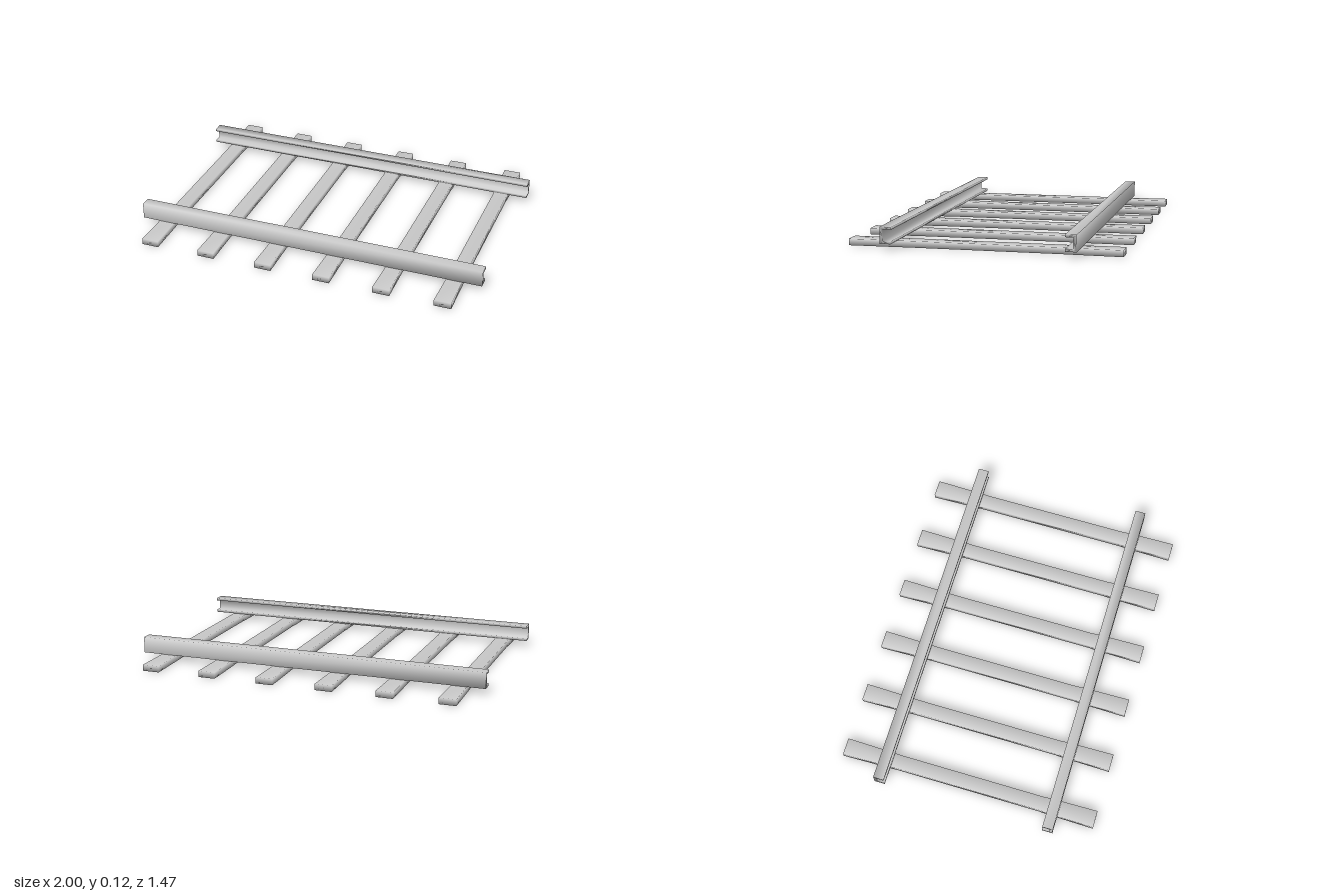
import * as THREE from 'three';
import { mergeVertices } from 'three/addons/utils/BufferGeometryUtils.js';

const material = new THREE.MeshStandardMaterial({ color: 0xcccccc });

// Weld corners so the shading runs softly over the edges
function soften(geometry) {
  geometry.deleteAttribute('normal');
  geometry.deleteAttribute('uv');
  const welded = mergeVertices(geometry, 1e-4);
  welded.computeVertexNormals();
  return welded;
}

// Flat sleeper, slightly flared toward both ends
function sleeperGeometry() {
  const stations = [-0.735, -0.47, -0.42, 0.42, 0.47, 0.735];
  const halfWidths = [0.048, 0.042, 0.04, 0.04, 0.043, 0.048];
  const geometry = new THREE.BoxGeometry(2, 0.035, 1, 1, 1, stations.length - 1);
  const p = geometry.attributes.position;
  for (let i = 0; i < p.count; i++) {
    const k = Math.round((p.getZ(i) + 0.5) * (stations.length - 1));
    p.setXYZ(i, p.getX(i) * halfWidths[k], p.getY(i) + 0.0175, stations[k]);
  }
  return soften(geometry);
}

// C-channel rail: web on the outer side, flanges pointing inward
function railGeometry(outer, inner) {
  const web = outer + Math.sign(inner - outer) * 0.018;
  const section = [
    [outer, 0.035], [inner, 0.035], [inner, 0.05], [web, 0.05],
    [web, 0.11], [inner, 0.11], [inner, 0.125], [outer, 0.125],
  ];
  // Section is drawn in (-z, y) and turned so the extrusion runs along x
  const shape = new THREE.Shape(section.map(([z, y]) => new THREE.Vector2(-z, y)));
  const geometry = new THREE.ExtrudeGeometry(shape, { depth: 2, bevelEnabled: false });
  geometry.translate(0, 0, -1).rotateY(Math.PI / 2);
  return soften(geometry);
}

export function createModel() {
  const model = new THREE.Group();
  model.name = 'railTrack';

  const add = (name, geometry, x = 0) => {
    const mesh = new THREE.Mesh(geometry, material);
    mesh.name = name;
    mesh.position.x = x;
    model.add(mesh);
  };

  // Rails
  add('frontRail', railGeometry(0.527, 0.467));
  add('backRail', railGeometry(-0.513, -0.453));

  // Sleepers
  const sleeper = sleeperGeometry();
  for (let i = 0; i < 6; i++) add(`sleeper${i + 1}`, sleeper, -0.855 + i * 0.34);

  return model;
}
